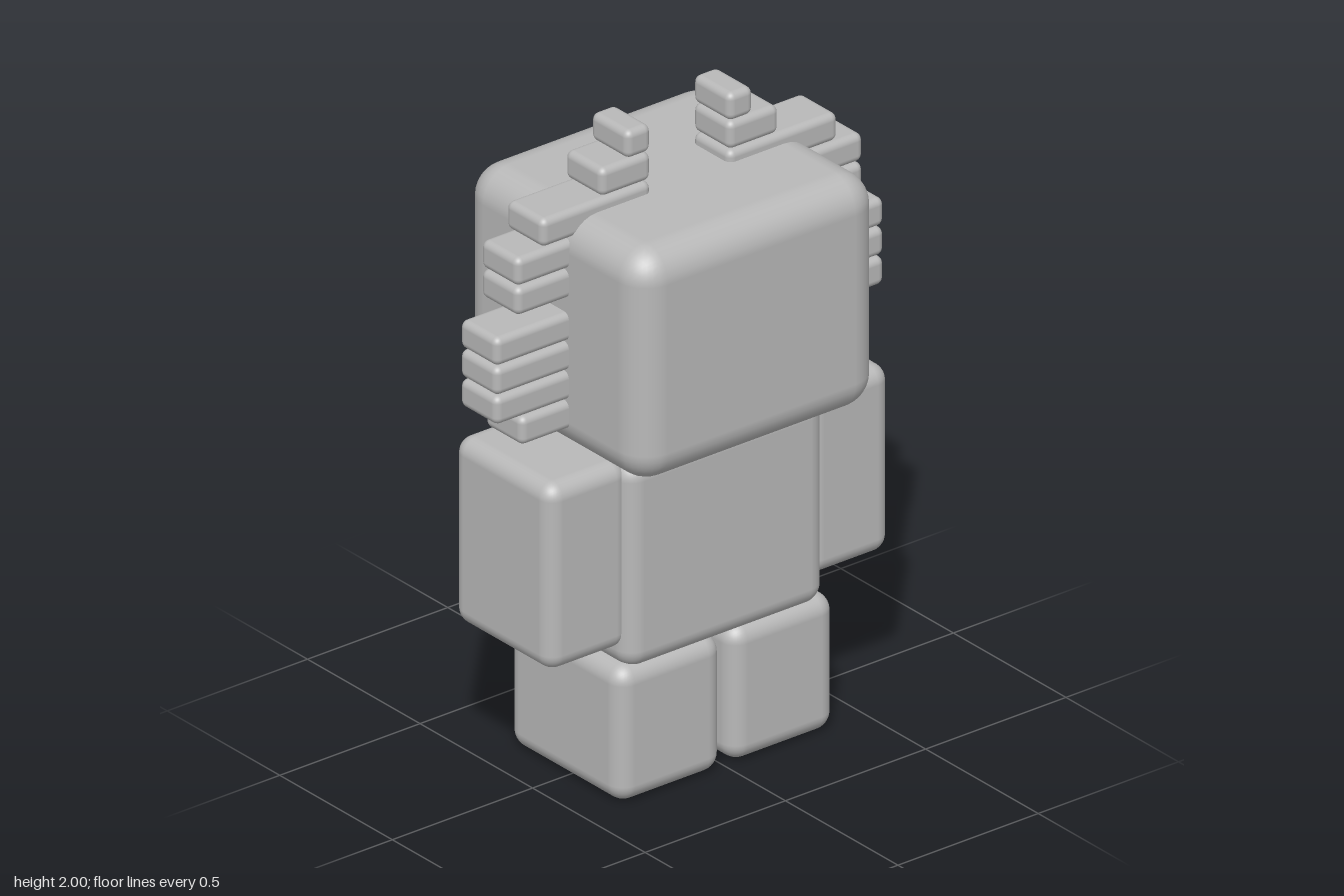
import * as THREE from 'three';
import { RoundedBoxGeometry } from 'three/addons/geometries/RoundedBoxGeometry.js';

export function createModel() {
  const model = new THREE.Group();
  model.name = 'blockFigure';
  const grey = new THREE.MeshStandardMaterial({ color: 0xb8b8b8 });
  grey.name = 'plain grey';

  // Rounded block spanning x0..x1 and y0..y1, centred on z = 0
  function block(name, x0, x1, y0, y1, depth, radius, parent = model) {
    const geometry = new RoundedBoxGeometry(x1 - x0, y1 - y0, depth, 4, radius);
    const mesh = new THREE.Mesh(geometry, grey);
    mesh.name = name;
    mesh.position.set((x0 + x1) / 2, (y0 + y1) / 2, 0);
    parent.add(mesh);
  }

  // Head and torso
  block('head', -0.437, 0.431, 1.06, 1.787, 0.8, 0.1);
  block('torso', -0.36, 0.354, 0.41, 1.06, 0.5, 0.06);

  // Layered mane strips: inner x, outer x, bottom y, top y
  const strips = [
    [0.138, 0.226, 1.913, 2.0],
    [0.138, 0.318, 1.824, 1.912],
    [0.138, 0.528, 1.733, 1.821],
    [0.3, 0.618, 1.64, 1.728],
    [0.3, 0.618, 1.548, 1.636],
    [0.3, 0.693, 1.414, 1.502],
    [0.3, 0.693, 1.322, 1.41],
    [0.3, 0.693, 1.23, 1.318],
    [0.3, 0.603, 1.138, 1.226],
  ];

  // Limbs and mane on both sides
  for (const [side, s] of [['left', 1], ['right', -1]]) {
    const pair = (name, a, b, y0, y1, depth, radius, parent) => {
      const x0 = s > 0 ? a : -b;
      const x1 = s > 0 ? b : -a;
      block(name, x0 - 0.003, x1 - 0.003, y0, y1, depth, radius, parent);
    };
    pair(side + 'Arm', 0.32, 0.611, 0.477, 1.06, 0.434, 0.05);
    pair(side + 'Leg', 0.014, 0.388, 0.005, 0.43, 0.504, 0.055);

    const mane = new THREE.Group();
    mane.name = side + 'Mane';
    model.add(mane);
    strips.forEach(([a, b, y0, y1], i) =>
      pair(side + 'ManeStrip' + (i + 1), a, b, y0, y1, 0.166, 0.022, mane));
  }
  return model;
}
